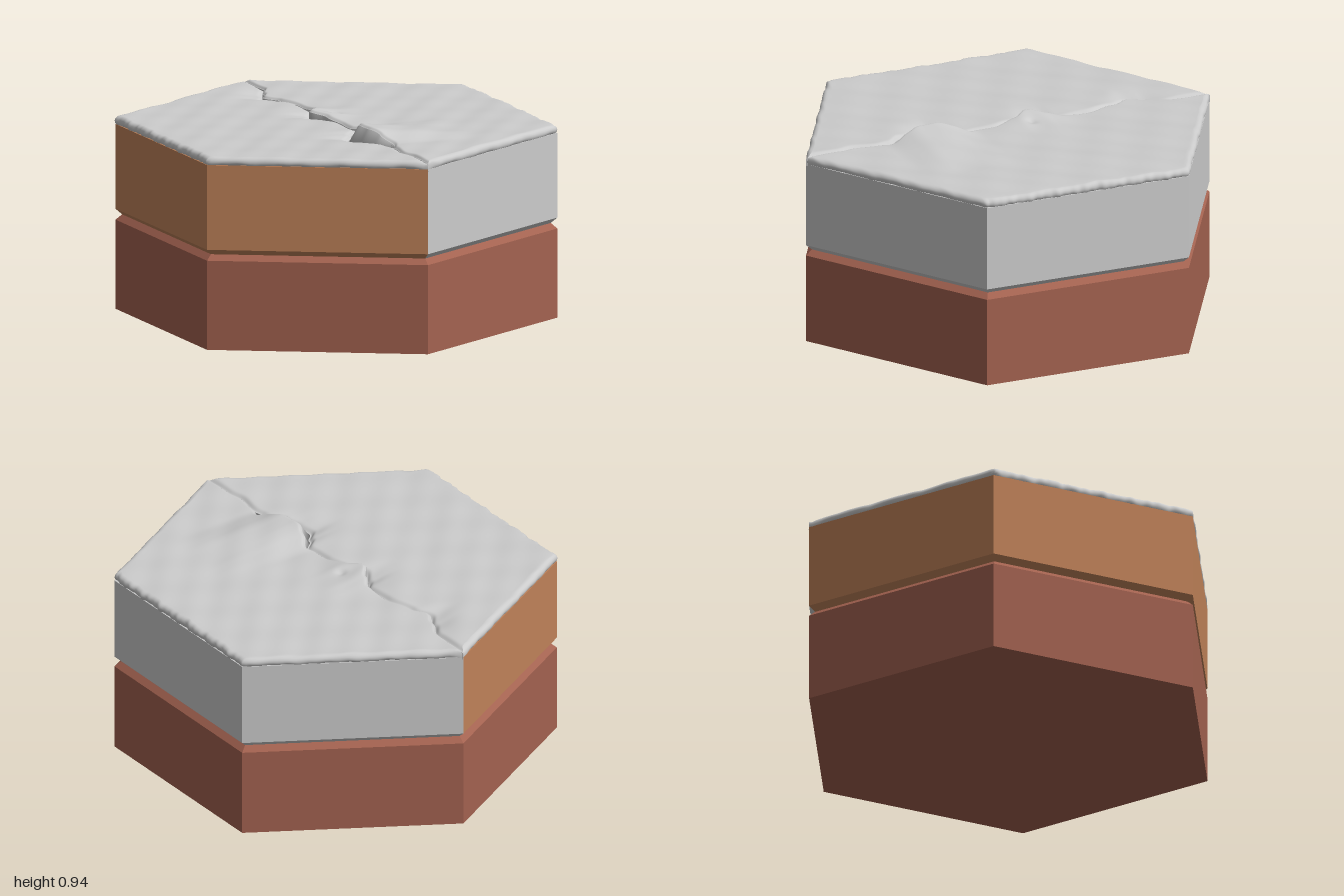
import * as THREE from 'three';

const GREY = 0xcccccc, BROWN = 0xc08259, BRICK = 0xa36250;
const ROWS = 200, COLS = 56, ARC = 8, EDGE = 0.024;
const bell = (v, centre, width) => Math.exp(-(((v - centre) / width) ** 2));
const { smoothstep, lerp } = THREE.MathUtils;

// Crack line as [z, x of the upper lip, x of the lip's foot]
const CRACK = [
  [-1, 0, 0], [-0.8, 0, 0], [-0.7, -0.045, -0.045], [-0.62, -0.08, -0.085], [-0.54, -0.04, -0.045],
  [-0.4, -0.002, -0.005], [-0.26, 0, 0], [-0.2, -0.03, -0.04], [-0.12, -0.078, -0.08],
  [-0.04, -0.03, -0.03], [0.07, 0, 0], [0.15, 0, 0], [0.2, 0.02, 0.005], [0.27, -0.015, -0.05],
  [0.34, -0.04, -0.1], [0.42, -0.035, -0.085], [0.5, -0.01, -0.06], [0.58, 0.02, -0.01],
  [0.64, 0, 0], [0.76, -0.015, -0.015], [0.84, 0, 0], [1, 0, 0],
];
function crack(z, column) {
  let i = 0;
  while (i < CRACK.length - 2 && z > CRACK[i + 1][0]) i++;
  const t = smoothstep(z, CRACK[i][0], CRACK[i + 1][0]);
  return lerp(CRACK[i][column], CRACK[i + 1][column], t);
}

// Gentle unevenness of the stone surface
const rough = (x, z) =>
  0.0013 * (Math.sin(17 * x + 9 * z) + Math.sin(23 * z - 13 * x + 1) + Math.sin(31 * x + 27 * z + 2));
const wobble = (z, side) =>
  0.003 * (Math.sin(47 * z + side) + Math.sin(83 * z + 2 * side) * 0.7 + Math.sin(139 * z) * 0.5);

// Height of the slab: the +x half rises to a lip, the -x half sinks beside it
function height(x, z, side) {
  const d = Math.abs(x - crack(z, side > 0 ? 1 : 2));
  let y = 0.888 + rough(x, z);
  if (side > 0) {
    const lift = smoothstep(z, 0.15, 0.36) * (1 - smoothstep(z, 0.43, 0.62));
    y += 0.055 * lift * Math.max(0, 1 - d / 0.5) ** 1.4;
    y += 0.034 * bell(z, -0.12, 0.11) * bell(d, 0, 0.12);
    y -= 0.01 * bell(x, 0.04, 0.02) * bell(z, -0.1, 0.02);
    y -= 0.012 * bell(d, 0, 0.009);
  } else {
    const dip = bell(z, -0.66, 0.12) + bell(z, -0.2, 0.09) + bell(z, 0.34, 0.13);
    y -= 0.02 * dip * bell(d, 0, 0.08) + 0.014 * bell(d, 0, 0.015);
  }
  return y;
}

// One half of the slab, lofted from closed cross-sections along z
function slabHalf(side) {
  const positions = [], index = [];
  const ring = 1 + COLS + ARC + 1;
  for (let i = 0; i <= ROWS; i++) {
    const z = -1 + (2 * i) / ROWS;
    const foot = crack(z, 2) + (side < 0 ? 0.006 : 0);
    const lip = side > 0 ? crack(z, 1) : foot;
    const fade = 1 - smoothstep(Math.abs(z), 0.97, 1);
    const outer = side * (Math.min(0.868, (1 - Math.abs(z)) * 1.732 + 0.004 * fade) + wobble(z, side) * fade);
    const span = Math.max(0, Math.abs(outer - lip));
    const slope = lerp(1, 2, smoothstep(Math.abs(z), 0.47, 0.53));
    const inset = Math.min(EDGE * slope, span * 0.6);
    const flatEnd = outer - side * inset;

    positions.push(foot, 0.842, z);
    for (let j = 0; j <= COLS; j++) {
      const x = lerp(lip, flatEnd, (j / COLS) ** 1.7);
      positions.push(x, height(x, z, side), z);
    }
    // rounded rim
    const top = height(flatEnd, z, side);
    const bottom = 0.842 + wobble(z + 0.3, side) * 0.7;
    for (let k = 1; k <= ARC; k++) {
      const a = (Math.PI * k) / ARC;
      const y = (top + bottom) / 2 + (Math.cos(a) * (top - bottom)) / 2;
      positions.push(flatEnd + side * inset * Math.sin(a), y, z);
    }
  }
  for (let i = 0; i < ROWS; i++) {
    for (let j = 0; j < ring; j++) {
      const a = i * ring + j, b = i * ring + ((j + 1) % ring);
      const c = a + ring, d = b + ring;
      if (side > 0) index.push(a, c, b, b, c, d);
      else index.push(a, b, c, b, d, c);
    }
  }
  const geometry = new THREE.BufferGeometry();
  geometry.setAttribute('position', new THREE.Float32BufferAttribute(positions, 3));
  geometry.setIndex(index);
  geometry.computeVertexNormals();
  return geometry;
}

// Faceted hexagonal block (or half of one) from a [radius, y] profile
function hexBlock(profile, sides, start) {
  const points = profile.map(([r, y]) => new THREE.Vector2(r, y));
  const geometry = new THREE.LatheGeometry(points, sides, start, (sides * Math.PI) / 3).toNonIndexed();
  geometry.computeVertexNormals();
  return geometry;
}

export function createModel() {
  const model = new THREE.Group();
  model.name = 'hexagonalTile';
  const add = (name, geometry, color) => {
    const material = new THREE.MeshStandardMaterial({ color });
    const mesh = new THREE.Mesh(geometry, material);
    mesh.name = name;
    model.add(mesh);
  };

  // Base and two upper halves, chamfered where they meet
  add('base', hexBlock([[0, 0], [1, 0], [1, 0.41], [0.97, 0.435], [0, 0.435]], 6, 0), BRICK);
  const upper = [[0, 0.435], [0.97, 0.435], [1, 0.46], [1, 0.85], [0, 0.85]];
  add('stoneHalf', hexBlock(upper, 3, 0), GREY);
  add('earthHalf', hexBlock(upper, 3, Math.PI), BROWN);

  // Cracked stone slab on top
  add('leftSlab', slabHalf(1), GREY);
  add('rightSlab', slabHalf(-1), GREY);
  return model;
}
